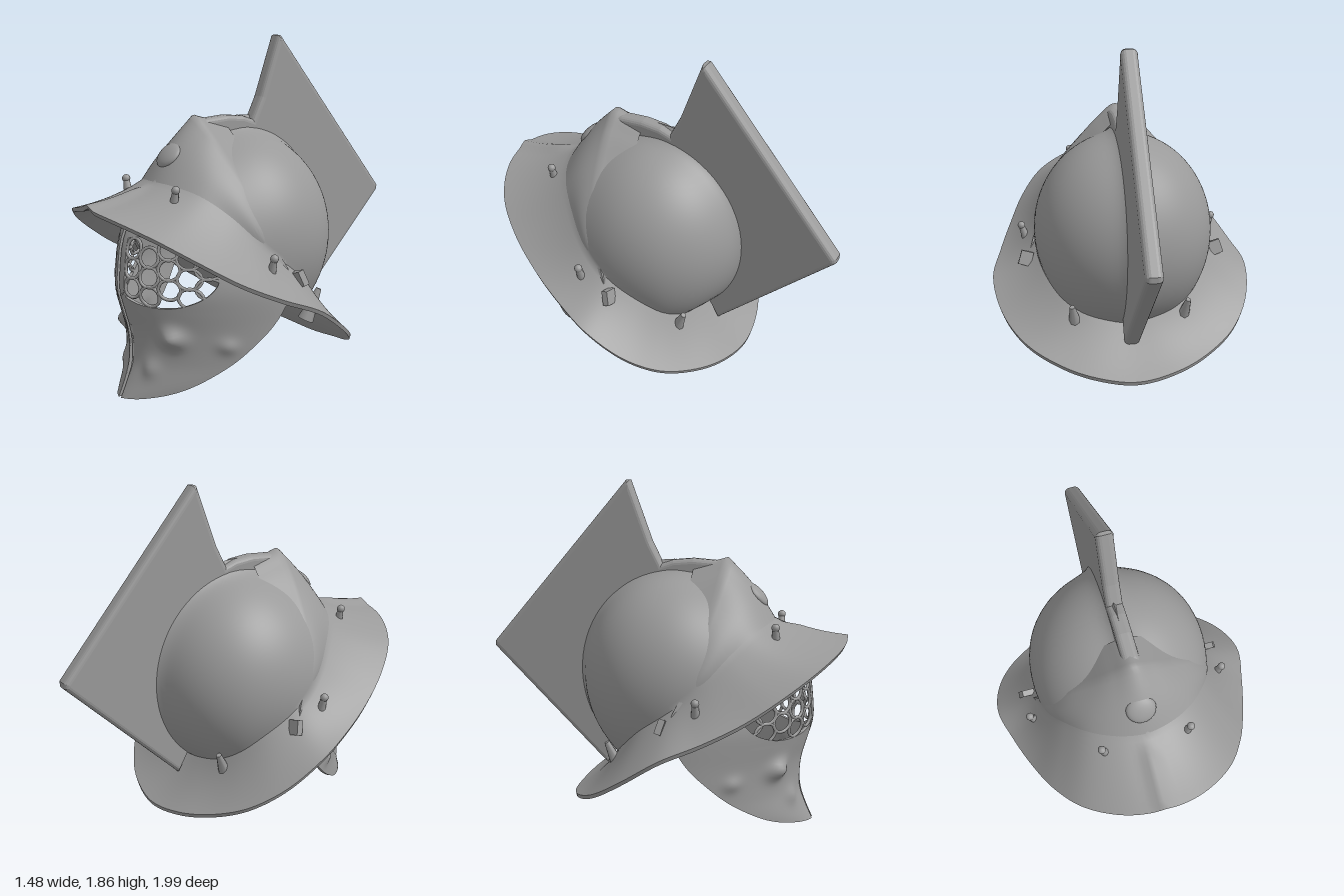
import * as THREE from 'three';
import { toCreasedNormals } from 'three/addons/utils/BufferGeometryUtils.js';

const V = (x, y, z) => new THREE.Vector3(x, y, z);
const mat = new THREE.MeshStandardMaterial({ color: 0x9a9a9a, side: THREE.DoubleSide });

function add(parent, name, geometry) {
  const mesh = new THREE.Mesh(geometry, mat);
  mesh.name = name;
  parent.add(mesh);
  return mesh;
}

// Skin a list of cross-section rows; closed joins the last column to the first
function loft(rows, closed, crease) {
  const n = rows[0].length, pos = [], idx = [];
  rows.forEach(row => row.forEach(p => pos.push(p.x, p.y, p.z)));
  for (let r = 0; r < rows.length - 1; r++) {
    for (let c = 0; c < (closed ? n : n - 1); c++) {
      const d = (c + 1) % n, a = r * n, b = a + n;
      idx.push(a + c, b + c, b + d, a + c, b + d, a + d);
    }
  }
  const g = new THREE.BufferGeometry();
  g.setAttribute('position', new THREE.Float32BufferAttribute(pos, 3));
  g.setIndex(idx);
  return toCreasedNormals(g, crease);
}

// Smooth lookup in a short [key, value] table
function lookup(table, k) {
  let i = 1;
  while (i < table.length - 1 && k > table[i][0]) i++;
  const at = j => table[THREE.MathUtils.clamp(j, 0, table.length - 1)];
  const slope = j => (at(j + 1)[1] - at(j - 1)[1]) / (at(j + 1)[0] - at(j - 1)[0]);
  const [k0, v0] = at(i - 1), [k1, v1] = at(i), h = k1 - k0;
  const t = THREE.MathUtils.clamp((k - k0) / h, 0, 1), u = 1 - t;
  return u * u * (1 + 2 * t) * v0 + t * t * (1 + 2 * u) * v1 + t * u * h * (u * slope(i - 1) - t * slope(i));
}

const curve = (pts, closed) => new THREE.CatmullRomCurve3(pts.map(([x, y, z = 0]) => V(x, y, z)), closed);
const flip = ([x, y, z]) => [-x, y, z];
const ring = half => curve([...half, ...half.slice(1, -1).reverse().map(flip)], true);
const span = half => curve([...half.slice(1).reverse().map(flip), ...half], false);

// Brim outline and the line where it meets the dome, front to back
const EDGE = [[0, 1.02, .99], [.2, .995, .96], [.4, .92, .85], [.53, .81, .69], [.62, .69, .5], [.69, .595, .3],
  [.74, .515, .1], [.7, .385, -.1], [.59, .275, -.26], [.43, .2, -.38], [.24, .15, -.47], [0, .12, -.51]];
const FOOT = [[0, 1.12, .6], [.15, 1.11, .57], [.28, 1.07, .5], [.38, .98, .4], [.45, .87, .3], [.485, .77, .2],
  [.49, .68, .08], [.45, .58, -.06], [.37, .48, -.16], [.26, .41, -.22], [.13, .37, -.25], [0, .35, -.26]];

const CENTRE = V(0, .82, .05), RADII = V(.485, .525, .49);

function shellGeometry() {
  const edge = ring(EDGE), foot = ring(FOOT), N = 144, outer = [], inner = [];
  const dome = (f, s) => {
    const v = f.clone().sub(CENTRE).divide(RADII), len = v.length();
    v.normalize();
    const angle = Math.acos(v.y) * s, flat = Math.hypot(v.x, v.z);
    const d = V(v.x / flat * Math.sin(angle), Math.cos(angle), v.z / flat * Math.sin(angle));
    // swelling along the middle fairs the dome into the crest
    const swell = .17 * Math.exp(-Math.abs(d.x) / .075) * (1 - s ** 4);
    return d.multiplyScalar(THREE.MathUtils.lerp(1, len, s ** 3) + swell).multiply(RADII).add(CENTRE);
  };
  const columns = Array.from({ length: N }, (_, i) => [foot.getPoint(i / N), edge.getPoint(i / N)]);
  for (let r = 0; r <= 28; r++) {
    const row = columns.map(([f]) => dome(f, Math.max(r / 28, .002)));
    outer.push(row);
    inner.unshift(row.map(p => p.clone().sub(CENTRE).multiplyScalar(.955).add(CENTRE)));
  }
  for (let r = 1; r <= 10; r++) {
    const row = columns.map(([f, e]) => {
      const mid = f.clone().lerp(e, .42);
      mid.y -= .04;
      const p = new THREE.QuadraticBezierCurve3(f, mid, e).getPoint(r / 10);
      // short keel on the peak
      p.y += .025 * Math.exp(-((p.x / .04) ** 2)) * THREE.MathUtils.smoothstep(p.z, .6, .75);
      return p;
    });
    outer.push(row);
    inner.unshift(row.map(p => V(p.x * .99, p.y - .022, p.z * .99)));
  }
  return loft([...outer, ...inner], true, .9);
}

// Pointed plate above the brow, its rear edge sinking softly into the dome
function browGeometry() {
  const top = span([[0, 1.45, .34], [.1, 1.38, .33], [.21, 1.27, .31], [.35, 1.11, .275], [.45, .92, .235], [.48, .78, .19]]);
  const bottom = span(FOOT.slice(0, 6));
  const N = 60, M = 10, rows = [];
  const fade = c => 1 - Math.abs(2 * c / N - 1) ** 3;
  for (const [scale, back] of [[.92, .16], [.96, .08], [.985, .025]]) {
    rows.push(Array.from({ length: N + 1 }, (_, c) => {
      const p = top.getPoint(c / N).sub(CENTRE).multiplyScalar(scale).add(CENTRE);
      p.z -= back * fade(c);
      return p;
    }));
  }
  for (let r = 0; r <= M; r++) {
    rows.push(Array.from({ length: N + 1 }, (_, c) => {
      const p = top.getPoint(c / N).lerp(bottom.getPoint(c / N), r / M);
      return p.addScaledVector(p.clone().sub(CENTRE).normalize(), .018 * fade(c) * Math.sin(Math.PI * r / M));
    }));
  }
  return loft(rows, false, 1.4);
}

// Mask surface from angle a around the face and height y; the sections are gently pointed at the front
const WIDTH = [[0, .42], [.035, .465], [.09, .5], [.2, .52], [.4, .526], [.6, .525], [.8, .475], [1, .41]];
const DEPTH = [[0, .83], [.1, .785], [.2, .755], [.35, .76], [.48, .795], [.58, .82], [.7, .815], [.85, .79], [1, .72]];
const BOSSES = [[.54, .34, .06, .05], [.335, .17, .02, .045], [.94, .3, .02, .04]];
const POWER = 4 / 3;
function face(a, y, inset = 0) {
  let out = -inset;
  for (const [ba, by, h, w] of BOSSES) out += h * Math.exp(-((((a - ba) * .55) ** 2 + (y - by) ** 2) / w ** 2));
  const s = Math.sin(a) ** POWER, c = Math.max(0, Math.cos(a)) ** POWER;
  return V(.011 + (lookup(WIDTH, y) + out) * s, y, .1 + (lookup(DEPTH, y) - .1 + out) * c);
}

// Half mask, skinned from the eye opening out to its border, with a straight front edge
function maskGeometry() {
  const eye = curve([[.13, .55], [.29, .52], [.5, .505], [.67, .52], [.85, .58], [.92, .65], [.85, .715],
    [.71, .78], [.5, .84], [.29, .865], [.13, .855]], false);
  const border = curve([[0, 0], [.39, .015], [.65, .06], [.93, .18], [1.11, .28], [1.39, .46], [1.53, .62],
    [1.35, .8], [.95, .93], [.5, .985], [0, 1]], false);
  const SIDE = 100, FRONT = 20, M = 24, outer = [], inner = [];
  const around = (path, c) => c <= SIDE ? path.getPoint(c / SIDE)
    : path.getPoint(1).lerp(path.getPoint(0), (c - SIDE) / FRONT);
  for (let r = 0; r <= M; r++) {
    const pts = Array.from({ length: SIDE + FRONT }, (_, c) => around(eye, c).lerp(around(border, c), r / M));
    outer.push(pts.map(p => face(Math.max(0, p.x), p.y)));
    inner.unshift(pts.map(p => face(Math.max(0, p.x), p.y, .02)));
  }
  return loft([...outer, ...inner, outer[0]], true, .8);
}

// Interlocking rings over one eye: column x, lowest ring y, count
function addGrille(parent) {
  const columns = [[.07, .605, 3], [.15, .565, 3], [.23, .605, 3], [.3, .56, 3], [.36, .61, 2]];
  for (const [x, y0, count] of columns) {
    for (let k = 0; k < count; k++) {
      const pts = Array.from({ length: 12 }, (_, i) => {
        const t = i / 12 * Math.PI * 2, px = x + .041 * Math.cos(t);
        return face(Math.asin((px / .525) ** (1 / POWER)), y0 + .1 * k + .052 * Math.sin(t), .01);
      });
      add(parent, 'grilleRing', new THREE.TubeGeometry(new THREE.CatmullRomCurve3(pts, true), 20, .009, 6, true));
    }
  }
}

function addPeg(parent, x, y, z, tilt) {
  const peg = new THREE.Group();
  peg.name = 'plumePeg';
  add(peg, 'pegStem', new THREE.CylinderGeometry(.016, .024, .08, 12));
  add(peg, 'pegHead', new THREE.SphereGeometry(.022, 12, 8)).position.y = .04;
  peg.position.set(x, y, z);
  peg.rotation.z = tilt;
  parent.add(peg);
}

function crestGeometry() {
  const outline = [[.33, 1.42], [.28, 1.43], [.15, 1.44], [.04, 1.43], [-.02, 1.41], [-.08, 1.53], [-.2, 1.86],
    [-.22, 1.86], [-.995, .95], [-.995, .92], [-.34, .26], [-.27, .38], [-.38, .6], [-.425, .85], [-.3, 1.16],
    [-.05, 1.33], [.28, 1.32]];
  const shape = new THREE.Shape(outline.map(([z, y]) => new THREE.Vector2(z, y)));
  const g = new THREE.ExtrudeGeometry(shape, { depth: .034, bevelSize: .028, bevelThickness: .028, bevelOffset: -.028, bevelSegments: 4 });
  return g.translate(0, 0, -.017).rotateY(-Math.PI / 2).translate(.005, 0, 0);
}

export function createModel() {
  const model = new THREE.Group();
  model.name = 'helmet';
  add(model, 'domeAndBrim', shellGeometry());
  add(model, 'browPlate', browGeometry());
  add(model, 'crest', crestGeometry());

  // Round boss on the brow
  const boss = add(model, 'browBoss', new THREE.SphereGeometry(.08, 24, 16));
  boss.scale.z = .4;
  boss.position.set(0, 1.25, .5);
  boss.rotation.x = -.75;

  // Everything paired left and right
  for (const side of [1, -1]) {
    const half = new THREE.Group();
    half.name = side > 0 ? 'leftSide' : 'rightSide';
    half.scale.x = side;
    add(half, 'faceMask', maskGeometry());
    addGrille(half);
    addPeg(half, .23, 1.07, .62, -.25);
    addPeg(half, .55, .73, .25, -.3);
    const bracket = add(half, 'sideBracket', new THREE.BoxGeometry(.07, .08, .035));
    bracket.position.set(.55, .635, .07);
    bracket.rotation.set(.3, 0, .3);
    const clip = add(half, 'rearClip', new THREE.CylinderGeometry(.015, .045, .19, 8));
    clip.position.set(.31, .385, -.23);
    clip.rotation.set(-.25, .8, -.2);
    model.add(half);
  }
  return model;
}
